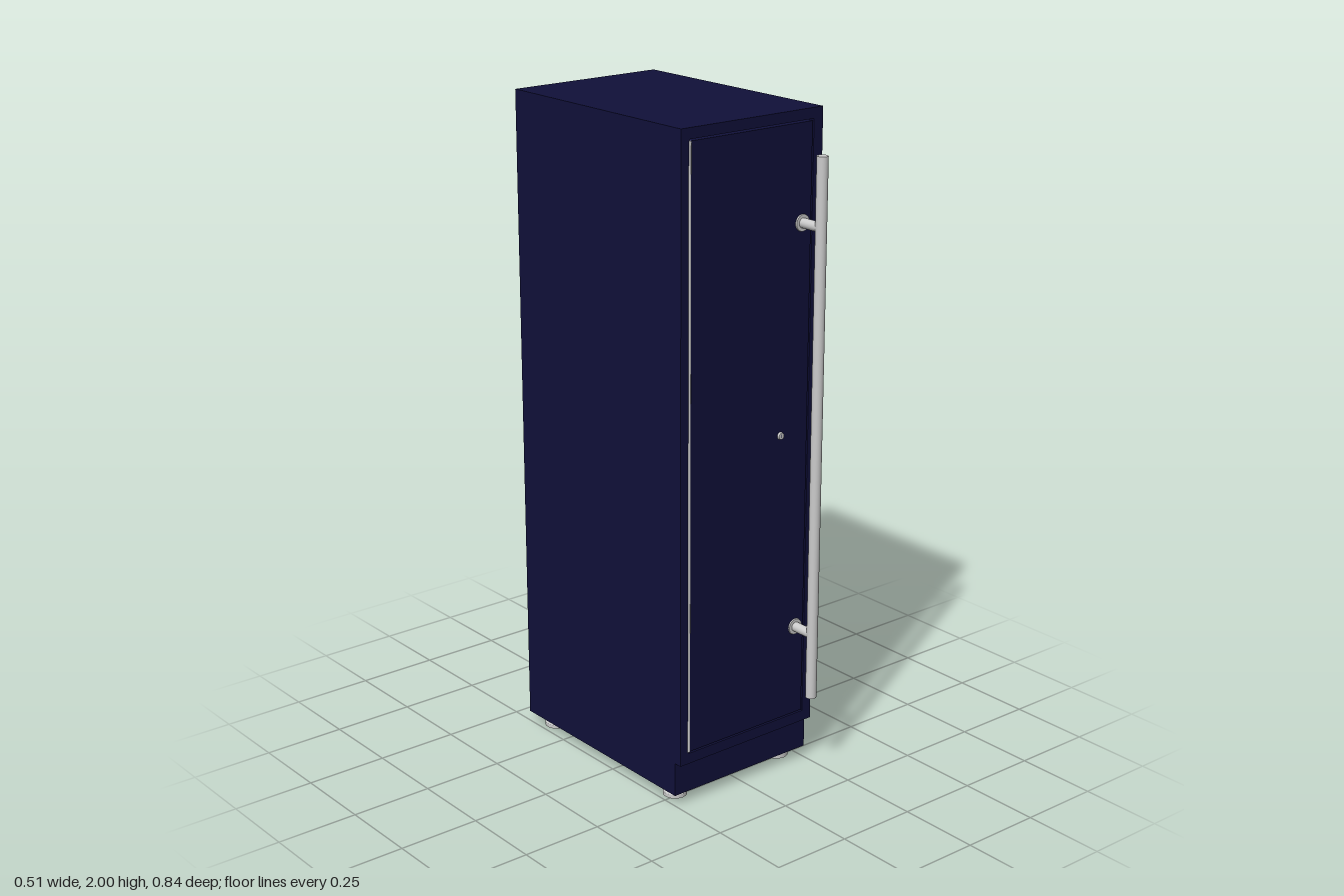
import * as THREE from 'three';

const navy = new THREE.MeshStandardMaterial({ color: 0x10103a });
const grey = new THREE.MeshStandardMaterial({ color: 0xcccccc });

export function createModel() {
  const model = new THREE.Group();

  function add(name, geometry, material, x, y, z) {
    const mesh = new THREE.Mesh(geometry, material);
    mesh.name = name;
    mesh.position.set(x, y, z);
    model.add(mesh);
    return mesh;
  }
  // Box given by its limits on each axis
  function box(name, [x0, x1], [y0, y1], [z0, z1]) {
    return add(name, new THREE.BoxGeometry(x1 - x0, y1 - y0, z1 - z0), navy,
      (x0 + x1) / 2, (y0 + y1) / 2, (z0 + z1) / 2);
  }
  // Round part whose axis points forward, starting at z0
  function forwardRod(name, rBack, rFront, length, x, y, z0) {
    const g = new THREE.CylinderGeometry(rFront, rBack, length, 24).rotateX(Math.PI / 2);
    return add(name, g, grey, x, y, z0 + length / 2);
  }

  // Cabinet carcass; its lower front is the recessed plinth
  box('carcass', [-0.253, 0.253], [0.035, 2], [-0.42, 0.3]);

  // Front frame around the door opening
  const frame = new THREE.Shape([
    new THREE.Vector2(-0.253, 0.14), new THREE.Vector2(0.253, 0.14),
    new THREE.Vector2(0.253, 2), new THREE.Vector2(-0.253, 2),
  ]);
  frame.holes.push(new THREE.Path([
    new THREE.Vector2(-0.224, 0.173), new THREE.Vector2(-0.224, 1.969),
    new THREE.Vector2(0.22, 1.969), new THREE.Vector2(0.22, 0.173),
  ]));
  add('frontFrame', new THREE.ExtrudeGeometry(frame, { depth: 0.025, bevelEnabled: false }),
    navy, 0, 0, 0.3);

  // Flush door with a narrow gap all round
  box('door', [-0.22, 0.215], [0.178, 1.964], [0.3, 0.325]);

  // Long hinge in the gap
  add('hinge', new THREE.CylinderGeometry(0.0045, 0.0045, 1.786, 12), grey, -0.222, 1.071, 0.3235);

  // Full-length bar handle on two flanged posts
  add('handleBar', new THREE.CylinderGeometry(0.0165, 0.0165, 1.624, 32), grey, 0.183, 1.071, 0.402);
  for (const y of [0.46, 1.682]) {
    forwardRod('handlePost', 0.0145, 0.0145, 0.077, 0.183, y, 0.325);
    forwardRod('handleFlange', 0.025, 0.024, 0.004, 0.183, y, 0.325);
  }

  // Key lock with its slot
  forwardRod('lock', 0.0115, 0.0095, 0.006, 0.114, 1.071, 0.325);
  box('keySlot', [0.1125, 0.1155], [1.066, 1.076], [0.329, 0.3314]);

  // Levelling feet: tapered pad and threaded stem in one profile
  const profile = [[0, 0], [0.036, 0], [0.036, 0.012], [0.032, 0.018], [0.008, 0.018], [0.008, 0.036]];
  // Each profile edge is turned separately so the edges stay sharp
  for (const x of [-0.199, 0.199]) for (const z of [-0.352, 0.234]) {
    const foot = new THREE.Group();
    foot.name = 'foot';
    for (let i = 0; i < profile.length - 1; i++) {
      const points = [profile[i], profile[i + 1]].map(([r, y]) => new THREE.Vector2(r, y));
      const ring = new THREE.Mesh(new THREE.LatheGeometry(points, 24), grey);
      ring.name = 'footSurface';
      foot.add(ring);
    }
    foot.position.set(x, 0, z);
    model.add(foot);
  }

  return model;
}
